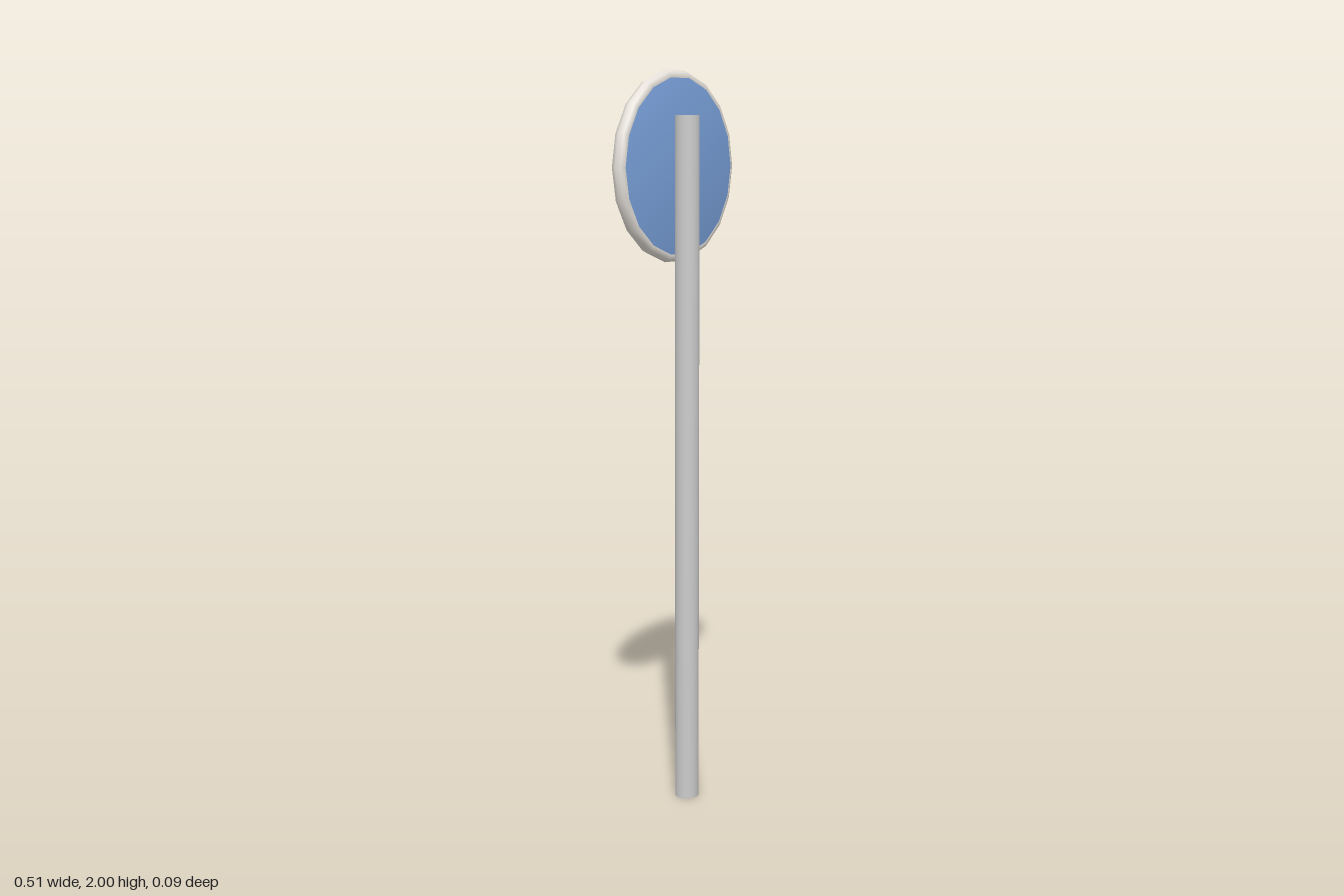
import * as THREE from 'three';
import { mergeVertices } from 'three/addons/utils/BufferGeometryUtils.js';

// Weld all corners so shading runs smoothly over the edges
function soften(geometry) {
  geometry.deleteAttribute('normal');
  geometry.deleteAttribute('uv');
  const welded = mergeVertices(geometry, 1e-4);
  welded.computeVertexNormals();
  return welded;
}

export function createModel() {
  const group = new THREE.Group();
  const grey = new THREE.MeshStandardMaterial({ color: 0xcccccc });
  const white = new THREE.MeshStandardMaterial({ color: 0xe6e1da });
  const blue = new THREE.MeshStandardMaterial({ color: 0x7aa2dc });

  const add = (name, geometry, material, x, y, z) => {
    const mesh = new THREE.Mesh(geometry, material);
    mesh.name = name;
    mesh.position.set(x, y, z);
    group.add(mesh);
  };

  const sides = 18;
  const centreY = 1.751;

  // Round post
  add('post', soften(new THREE.CylinderGeometry(0.033, 0.033, 1.885, 24)), grey, 0, 0.9425, 0.0125);

  // Round sign plate, first corner on the x axis
  const plate = new THREE.CylinderGeometry(0.236, 0.236, 0.025, sides);
  plate.rotateY(Math.PI / 2).rotateX(Math.PI / 2);
  add('signPlate', soften(plate), blue, 0, centreY, -0.0225);

  // Rim around the plate
  add('rim', new THREE.TorusGeometry(0.235, 0.0195, 8, sides), white, 0, centreY, -0.029);

  // Raised bar on the sign face
  add('signBar', new THREE.BoxGeometry(0.35, 0.066, 0.025), white, 0, centreY, -0.0345);

  return group;
}
